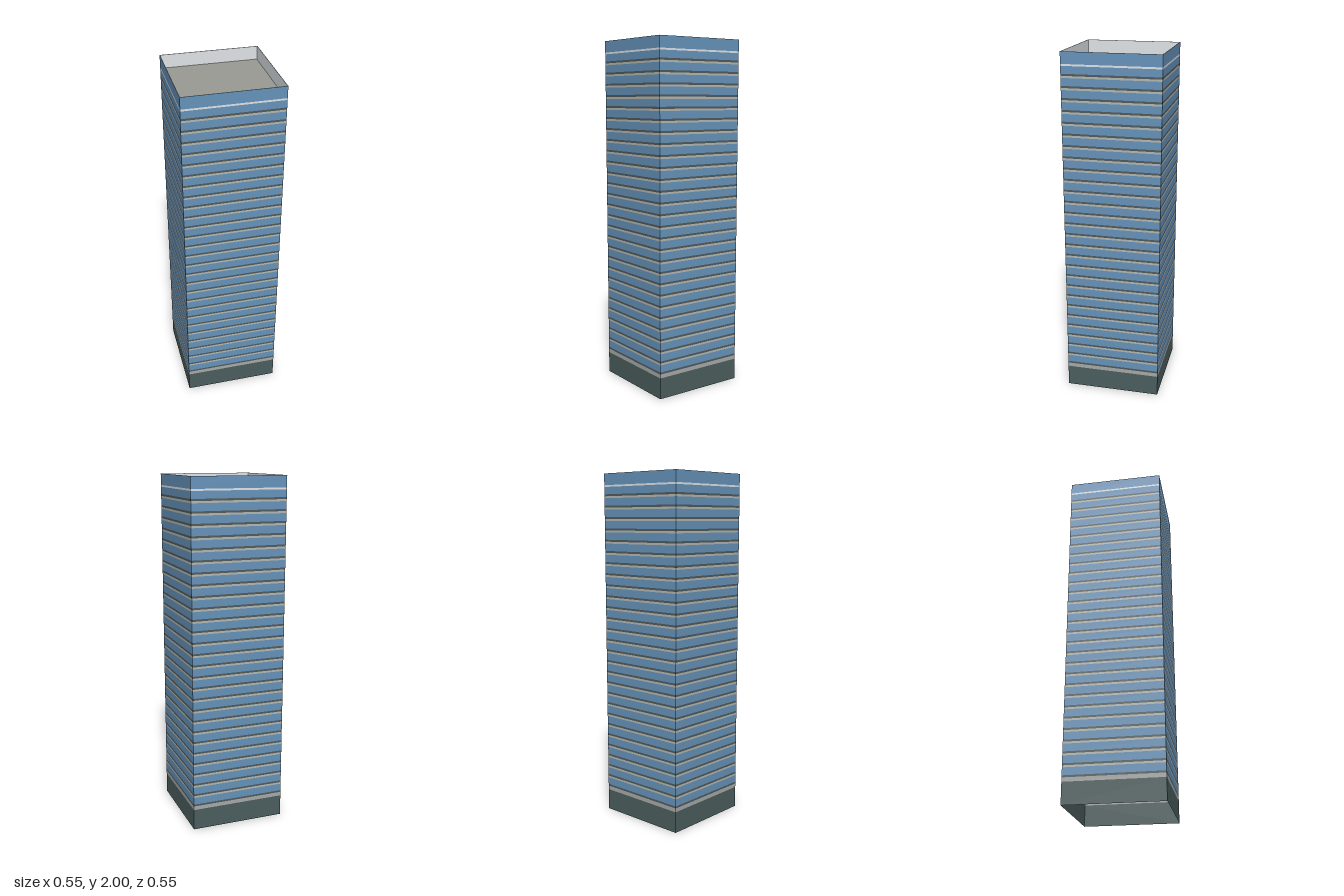
import * as THREE from 'three';
import { mergeGeometries } from 'three/addons/utils/BufferGeometryUtils.js';

const HALF = 0.274;       // half width of the tower
const INNER = 0.271;      // half width inside the parapet
const BASE_TOP = 0.122;
const FLOORS = 28;
const FIRST = 0.145;      // underside of the first dark band
const STEP = 0.064;
const DARK_H = 0.011;
const SILL_H = 0.011;
const TRIM_Y = 1.925;
const TRIM_H = 0.01;

function material(name, color) {
  const m = new THREE.MeshStandardMaterial({ color, side: THREE.DoubleSide });
  m.name = name;
  return m;
}

// Four upright sheets forming an open square ring between two heights
function ring(y0, y1, half = HALF) {
  const sides = [];
  for (let i = 0; i < 4; i++) {
    const side = new THREE.PlaneGeometry(half * 2, y1 - y0);
    side.translate(0, (y0 + y1) / 2, half);
    side.rotateY(i * Math.PI / 2);
    sides.push(side);
  }
  return mergeGeometries(sides);
}

function square(half) {
  return [[-half, -half], [half, -half], [half, half], [-half, half]]
    .map(([x, y]) => new THREE.Vector2(x, y));
}

export function createModel() {
  const glass = material('blue glass', 0x6592ba);
  const baseGrey = material('dark grey green', 0x4b5d5d);
  const bandGrey = material('dark band grey', 0x50595a);
  const sill = material('pale stone', 0xb3b7b0);
  const concrete = material('mid grey', 0xa5a9a7);
  const white = material('off white', 0xe4e8ec);
  const roofGrey = material('roof grey', 0x999a93);

  const tower = new THREE.Group();
  tower.name = 'tower';
  const add = (name, geometry, mat) => {
    const mesh = new THREE.Mesh(geometry, mat);
    mesh.name = name;
    tower.add(mesh);
  };

  // Ground floor and the grey band over it
  add('base', ring(0, BASE_TOP), baseGrey);
  add('baseBand', ring(BASE_TOP, FIRST), concrete);

  // Repeating storeys: dark band, glass, pale sill under the next band
  const darkBands = [], windows = [], sills = [];
  for (let i = 0; i < FLOORS; i++) {
    const y = FIRST + i * STEP;
    const last = i === FLOORS - 1;
    const glassTop = last ? TRIM_Y : y + STEP - SILL_H;
    darkBands.push(ring(y, y + DARK_H));
    windows.push(ring(y + DARK_H, glassTop));
    if (!last) sills.push(ring(glassTop, y + STEP));
  }
  add('floorBands', mergeGeometries(darkBands), bandGrey);
  add('windowBands', mergeGeometries(windows), glass);
  add('windowSills', mergeGeometries(sills), sill);

  // Crown: white line, glass parapet, pale lining and coping
  add('roofTrim', ring(TRIM_Y, TRIM_Y + TRIM_H), white);
  add('parapet', ring(TRIM_Y + TRIM_H, 2), glass);
  add('parapetLining', ring(TRIM_Y, 2, INNER), white);

  const copingShape = new THREE.Shape(square(HALF));
  copingShape.holes.push(new THREE.Path(square(INNER)));
  const coping = new THREE.ShapeGeometry(copingShape);
  coping.rotateX(-Math.PI / 2).translate(0, 2, 0);
  add('parapetCoping', coping, white);

  // Sunken roof deck
  const deck = new THREE.PlaneGeometry(HALF * 2, HALF * 2);
  deck.rotateX(-Math.PI / 2).translate(0, TRIM_Y, 0);
  add('roofDeck', deck, roofGrey);

  return tower;
}
